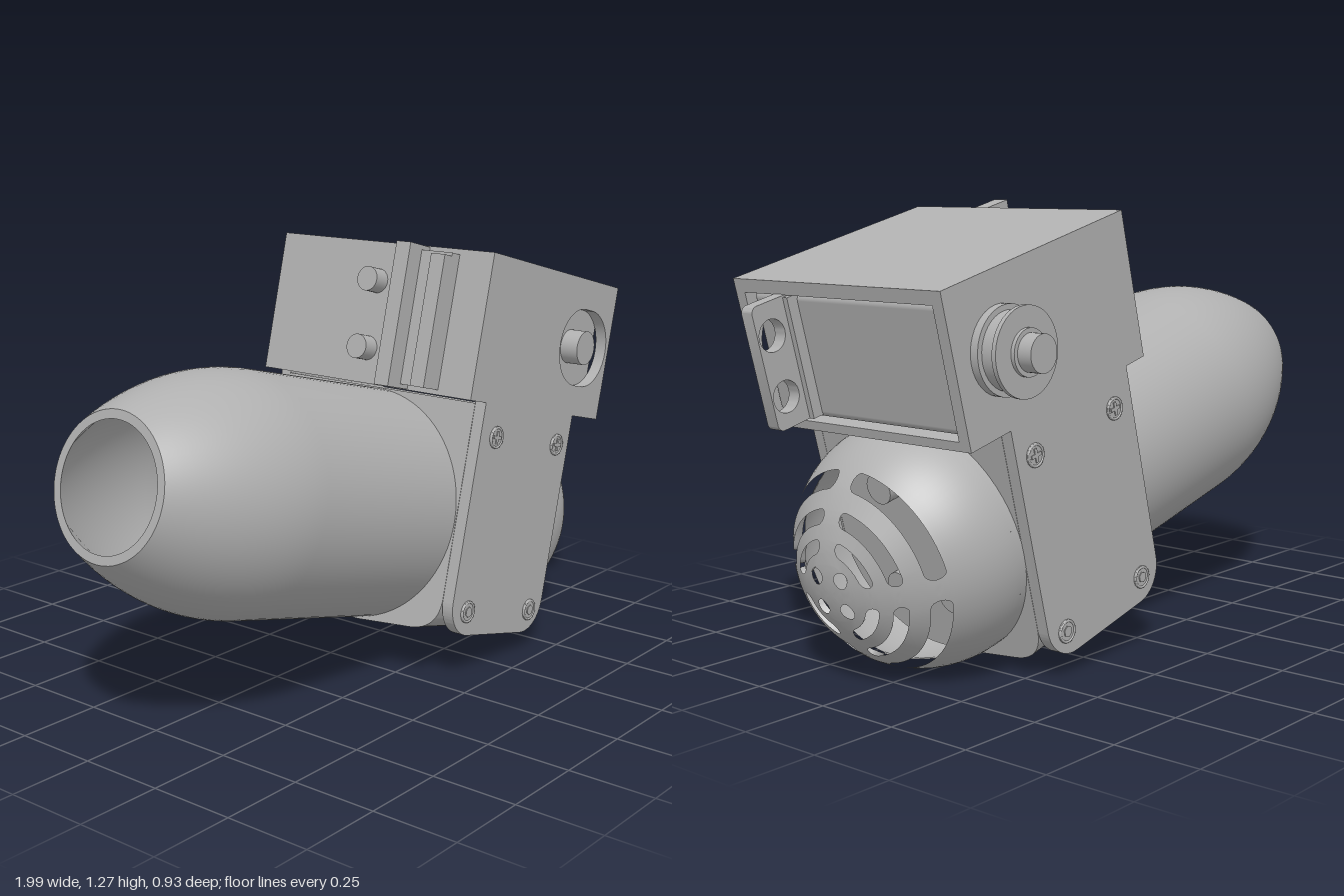
import * as THREE from 'three';
import { toCreasedNormals } from 'three/addons/utils/BufferGeometryUtils.js';
import { RoundedBoxGeometry } from 'three/addons/geometries/RoundedBoxGeometry.js';

const AXIS = 0.492; // height of the barrel axis in the tilted frame
const TILT = 14.4 * Math.PI / 180;

export function createModel() {
  const grey = new THREE.MeshStandardMaterial({ color: 0xb0b0b0 });
  grey.name = 'grey';
  const root = new THREE.Group();
  root.name = 'barrelUnit';
  // Tilted frame: x runs along the barrel to the dome, z is centred on the barrel
  const body = new THREE.Group();
  body.name = 'tiltedBody';
  body.rotation.z = -TILT;
  body.position.z = 0.06;
  root.add(body);

  const add = (name, geo, x = 0, y = 0, z = 0) => {
    const mesh = new THREE.Mesh(geo, grey);
    mesh.name = name;
    mesh.position.set(x, y, z);
    body.add(mesh);
    return mesh;
  };
  // Box given by its limits
  const box = (name, x0, x1, y0, y1, z0, z1) =>
    add(name, new THREE.BoxGeometry(x1 - x0, y1 - y0, z1 - z0), (x0 + x1) / 2, (y0 + y1) / 2, (z0 + z1) / 2);
  // Cylinder along z between two depths
  const disc = (name, x, y, z0, z1, r, sides = 40) =>
    add(name, new THREE.CylinderGeometry(r, r, z1 - z0, sides).rotateX(Math.PI / 2), x, y, (z0 + z1) / 2);
  const slab = (name, shape, z0, z1) =>
    add(name, toCreasedNormals(new THREE.ExtrudeGeometry(shape, { depth: z1 - z0, bevelEnabled: false, curveSegments: 16 }), 0.5), 0, 0, z0);
  // Rectangle with rounded bottom and top corners
  const roundRect = (x0, x1, y0, y1, rb, rt) => {
    const s = new THREE.Shape();
    s.moveTo(x0 + rb, y0);
    s.lineTo(x1 - rb, y0);
    s.absarc(x1 - rb, y0 + rb, rb, -Math.PI / 2, 0);
    s.lineTo(x1, y1 - rt);
    if (rt) s.absarc(x1 - rt, y1 - rt, rt, 0, Math.PI / 2);
    s.lineTo(x0 + rt, y1);
    if (rt) s.absarc(x0 + rt, y1 - rt, rt, Math.PI / 2, Math.PI);
    s.lineTo(x0, y0 + rb);
    s.absarc(x0 + rb, y0 + rb, rb, Math.PI, Math.PI * 1.5);
    return s;
  };

  // Hollow barrel with a curved taper towards the mouth
  const taper = [];
  for (let i = 0; i <= 14; i++) {
    const t = 1 - i / 14;
    taper.push([0.345 - 0.148 * t * t, -0.65 - 0.458 * t]);
  }
  const inner = taper.slice().reverse().map(([r, u]) => [r - 0.025, u]);
  const profile = [[0.0001, -0.1], [0.32, -0.1], ...inner, ...taper, [0.345, 0.0]];
  add('barrel', toCreasedNormals(new THREE.LatheGeometry(profile.map(p => new THREE.Vector2(...p)), 80).rotateZ(-Math.PI / 2), 0.5), 0, AXIS, 0);

  // Housing block around the rear of the barrel
  const b = new THREE.Shape();
  b.moveTo(-0.349, 0.84);
  b.lineTo(-0.349, 0.27);
  b.quadraticCurveTo(-0.349, 0.175, -0.25, 0.163);
  b.lineTo(-0.06, 0.145);
  b.lineTo(0.06, 0.145);
  b.lineTo(0.25, 0.163);
  b.quadraticCurveTo(0.349, 0.175, 0.349, 0.27);
  b.lineTo(0.349, 0.84);
  add('housingBlock', toCreasedNormals(new THREE.ExtrudeGeometry(b, { depth: 0.495, bevelEnabled: false, curveSegments: 16 }).rotateY(Math.PI / 2), 0.5), -0.055, 0, 0);

  // Perforated dome, with collar and inner fittings
  add('domeCollar', new THREE.CylinderGeometry(0.351, 0.351, 0.04, 80, 1, true).rotateZ(-Math.PI / 2), 0.444, AXIS, 0);
  add('dome', domeGeometry(0.351, 0.326), 0.464, AXIS, 0);
  for (const sy of [-1, 1]) for (const sz of [-1, 1]) {
    add('innerBoss', new THREE.CylinderGeometry(0.045, 0.045, 0.06, 24).rotateZ(-Math.PI / 2), 0.465, AXIS + sy * 0.15, sz * 0.1);
  }

  // Side plates with their screws
  for (const s of [-1, 1]) {
    const z0 = s > 0 ? 0.35 : -0.386;
    slab('sidePlate', roundRect(-0.055, 0.44, 0.165, 0.846, 0.1, 0), z0, z0 + 0.036);
    for (const x of [0.026, 0.369]) for (const y of [0.236, 0.751]) {
      const lower = y < 0.5;
      disc('screwHead', x, y, s * 0.388 - 0.002, s * 0.388 + 0.002, 0.033, 32);
      add('screwRim', new THREE.TorusGeometry(0.029, 0.004, 8, 32), x, y, s * 0.389);
      if (lower) {
        disc('screwHex', x, y, s * 0.391 - 0.002, s * 0.391 + 0.002, 0.016, 6);
      } else {
        box('screwCross', x - 0.019, x + 0.019, y - 0.005, y + 0.005, s * 0.391 - 0.002, s * 0.391 + 0.002);
        box('screwCross', x - 0.005, x + 0.005, y - 0.019, y + 0.019, s * 0.391 - 0.002, s * 0.391 + 0.002);
      }
    }
  }

  // Upper case, open at the rear end, with a rounded slot in its front wall
  const wall = new THREE.Shape();
  wall.moveTo(-0.137, 0.846);
  wall.lineTo(0.592, 0.846);
  wall.lineTo(0.592, 1.266);
  wall.lineTo(-0.137, 1.266);
  const slot = new THREE.Path();
  slot.absarc(0.417, 1.057, 0.118, Math.PI / 2, Math.PI * 1.5);
  slot.absarc(0.458, 1.057, 0.118, -Math.PI / 2, Math.PI / 2);
  wall.holes.push(slot);
  slab('caseFrontWall', wall, 0.35, 0.386);
  box('caseBackWall', -0.137, 0.592, 0.846, 1.266, -0.386, -0.35);
  box('caseRoof', -0.137, 0.592, 1.228, 1.266, -0.35, 0.35);
  box('caseFloor', -0.137, 0.592, 0.846, 0.872, -0.35, 0.35);
  box('caseEndWall', -0.137, -0.1, 0.872, 1.228, -0.35, 0.35);

  // Motor inside the case, with its shaft and pulley
  add('motor', new RoundedBoxGeometry(0.66, 0.35, 0.696, 3, 0.02), 0.24, 1.05, 0);
  disc('frontShaft', 0.417, 1.057, 0.34, 0.406, 0.052);
  for (const [z0, z1, r] of [[-0.41, -0.386, 0.118], [-0.462, -0.4, 0.103], [-0.469, -0.456, 0.118], [-0.48, -0.469, 0.062], [-0.523, -0.48, 0.05]]) {
    disc('pulley', 0.417, 1.057, z0, z1, r);
  }

  // Rear lug with two holes
  const lug = roundRect(0.56, 0.711, 0.885, 1.23, 0.02, 0.02);
  for (const y of [0.97, 1.14]) {
    const hole = new THREE.Path();
    hole.absarc(0.662, y, 0.044, 0, Math.PI * 2, true);
    lug.holes.push(hole);
  }
  slab('rearLug', lug, 0.187, 0.229);
  box('rearLugBase', 0.565, 0.602, 0.885, 1.225, 0.17, 0.246);

  // Mount and bolts on the barrel-side end of the case
  box('mountFin', -0.234, -0.137, 0.848, 1.263, 0.113, 0.163);
  box('mountPad', -0.175, -0.137, 0.86, 1.25, 0.085, 0.27);
  box('mountRail', -0.21, -0.137, 0.86, 1.24, 0.222, 0.27);
  for (const y of [0.95, 1.15]) {
    add('mountBolt', new THREE.CylinderGeometry(0.036, 0.036, 0.055, 28).rotateZ(Math.PI / 2), -0.163, y, -0.005);
  }
  return root;
}

// Hemispherical shell facing +x; each quadrant has a round hole and three curved slots
function domeGeometry(R, Ri) {
  const bands = [[0.064, 0.022, true], [0.128, 0.017], [0.196, 0.017], [0.272, 0.018]];
  const rings = [{ r: 0, a: Math.PI / 8 }, { r: 0.02, a: Math.PI / 8 }];
  // Each ring stores its radius and the angle at which the opening begins
  for (const [rm, h, round] of bands) {
    for (let k = 0; k <= 8; k++) {
      const d = -h * Math.cos(Math.PI * k / 8), r = rm + d;
      const w = Math.sqrt(Math.max(0, h * h - d * d));
      const a = round ? Math.PI / 4 - w / r : (0.03 + h - w) / r;
      rings.push({ r, a, open: k < 8 });
    }
  }
  for (let k = 1; k <= 10; k++) {
    const r = 0.29 + (R - 0.29) * Math.sin(Math.PI / 2 * k / 10);
    rings.push({ r, a: 0.17 });
  }
  const RIB = 3, GAP = 16, Q = RIB * 2 + GAP, N = Q * 4;
  const angle = (a, j) => {
    const q = Math.floor(j / Q), k = j % Q;
    const t = k <= RIB ? a * k / RIB
      : k <= RIB + GAP ? a + (Math.PI / 2 - 2 * a) * (k - RIB) / GAP
        : Math.PI / 2 - a * (Q - k) / RIB;
    return q * Math.PI / 2 + t;
  };
  const point = (i, j, rad) => {
    const { r, a } = rings[i], t = angle(a, j % N), s = r * rad / R;
    return [Math.sqrt(Math.max(0, rad * rad - s * s)), s * Math.cos(t), s * Math.sin(t)];
  };
  const solid = (i, j) => {
    const k = ((j + N) % N) % Q;
    return i < 0 || !(rings[i].open && k >= RIB && k < RIB + GAP);
  };
  const pos = [];
  const quad = (a, b, c, d) => pos.push(...a, ...b, ...c, ...a, ...c, ...d);
  for (let i = 0; i < rings.length - 1; i++) {
    for (let j = 0; j < N; j++) {
      const o = [point(i, j, R), point(i + 1, j, R), point(i + 1, j + 1, R), point(i, j + 1, R)];
      const n = [point(i, j, Ri), point(i + 1, j, Ri), point(i + 1, j + 1, Ri), point(i, j + 1, Ri)];
      if (solid(i, j)) {
        quad(o[0], o[1], o[2], o[3]);
        quad(n[3], n[2], n[1], n[0]);
      } else {
        // Walls through the shell around each opening
        if (solid(i - 1, j)) quad(o[0], o[3], n[3], n[0]);
        if (solid(i + 1, j)) quad(o[2], o[1], n[1], n[2]);
        if (solid(i, j - 1)) quad(o[1], o[0], n[0], n[1]);
        if (solid(i, j + 1)) quad(o[3], o[2], n[2], n[3]);
      }
    }
  }
  const geo = new THREE.BufferGeometry();
  geo.setAttribute('position', new THREE.Float32BufferAttribute(pos, 3));
  return toCreasedNormals(geo, 0.6);
}
